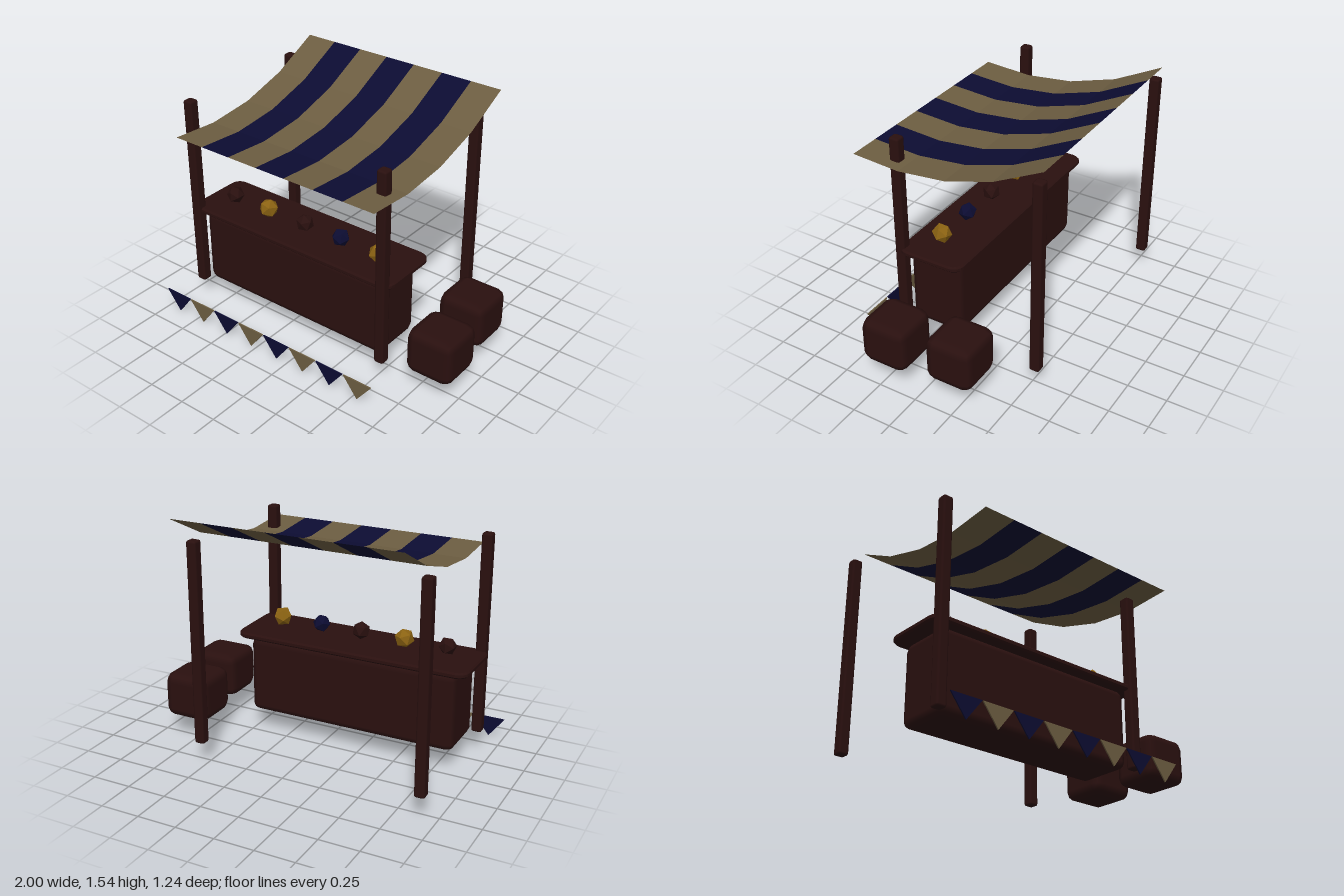
import * as THREE from 'three';
import { RoundedBoxGeometry } from 'three/addons/geometries/RoundedBoxGeometry.js';

export function createModel() {
  const group = new THREE.Group();
  group.name = 'marketStall';

  const mat = (name, color, extra = {}) => {
    const m = new THREE.MeshStandardMaterial({ color, ...extra });
    m.name = name;
    return m;
  };
  const wood = mat('darkWood', 0x2a100f);
  const gold = mat('gold', 0x8a6212, { flatShading: true });
  const cream = mat('creamCloth', 0x6c5d41, { side: THREE.DoubleSide, flatShading: true });
  const navy = mat('navyCloth', 0x0c0c32, { side: THREE.DoubleSide, flatShading: true });

  const add = (name, geometry, material, x = 0, y = 0, z = 0) => {
    const mesh = new THREE.Mesh(geometry, material);
    mesh.name = name;
    mesh.position.set(x, y, z);
    group.add(mesh);
    return mesh;
  };

  // Four corner posts
  for (const x of [-0.9, 0.535])
    for (const z of [0.382, -0.54])
      add('post', new RoundedBoxGeometry(0.066, 1.275, 0.066, 1, 0.014), wood, x, 0.773, z);

  // Counter body
  add('counterBody', new RoundedBoxGeometry(1.375, 0.5, 0.355, 1, 0.045), wood, -0.183, 0.388, 0.178);

  // Counter top: a slab with rounded corners
  const w = 0.757, d = 0.207, r = 0.06;
  const slab = new THREE.Shape();
  slab.absarc(w - r, d - r, r, 0, Math.PI / 2);
  slab.absarc(-w + r, d - r, r, Math.PI / 2, Math.PI);
  slab.absarc(-w + r, -d + r, r, Math.PI, Math.PI * 1.5);
  slab.absarc(w - r, -d + r, r, Math.PI * 1.5, Math.PI * 2);
  const slabGeo = new THREE.ExtrudeGeometry(slab, {
    depth: 0.017, curveSegments: 2, bevelThickness: 0.01, bevelSize: 0.01, bevelSegments: 1,
  });
  slabGeo.rotateX(-Math.PI / 2);
  add('counterTop', slabGeo, wood, -0.183, 0.649, 0.178);

  // Crates beside the stall
  for (const [x, z] of [[0.793, -0.185], [0.845, 0.227]])
    add('crate', new RoundedBoxGeometry(0.31, 0.292, 0.305, 1, 0.058), wood, x, 0.284, z);

  // Goods on the counter
  const woodFacet = wood.clone();
  woodFacet.name = 'darkWoodFaceted';
  woodFacet.flatShading = true;
  const goods = [[-0.745, woodFacet], [-0.465, gold], [-0.175, woodFacet], [0.1, navy], [0.378, gold]];
  goods.forEach(([x, m], i) => {
    const radius = m === gold ? 0.062 : 0.057;
    const item = add('ware', new THREE.IcosahedronGeometry(radius, 0), m, x, 0.735, 0.205);
    item.rotation.set(0.1 * i, 0.9 * i, 0.25 * (i % 3));
  });

  // Sagging canopy of seven cloth stripes, high at the back
  const profile = [[1.54, -0.62], [1.385, -0.312], [1.293, -0.004], [1.26, 0.304], [1.28, 0.612]];
  const left = -0.797, stripe = 1.435 / 7;
  for (let i = 0; i < 7; i++) {
    const geo = new THREE.PlaneGeometry(stripe, 1, 1, 4);
    const p = geo.attributes.position;
    for (let k = 0; k < p.count; k++) {
      const [y, z] = profile[Math.floor(k / 2)];
      p.setY(k, y);
      p.setZ(k, z);
    }
    geo.computeVertexNormals();
    add('canopyStripe', geo, i % 2 ? navy : cream, left + stripe * (i + 0.5));
  }

  // Row of pennants along the front
  const flag = new THREE.Shape();
  flag.moveTo(-0.1, 0.13);
  flag.lineTo(0, 0);
  flag.lineTo(0.1, 0.13);
  const flagGeo = new THREE.ExtrudeGeometry(flag, { depth: 0.008, bevelEnabled: false });
  for (let i = 0; i < 8; i++)
    add('pennant', flagGeo, i % 2 ? cream : navy, -0.9 + 0.205 * i, 0, 0.61);

  return group;
}
